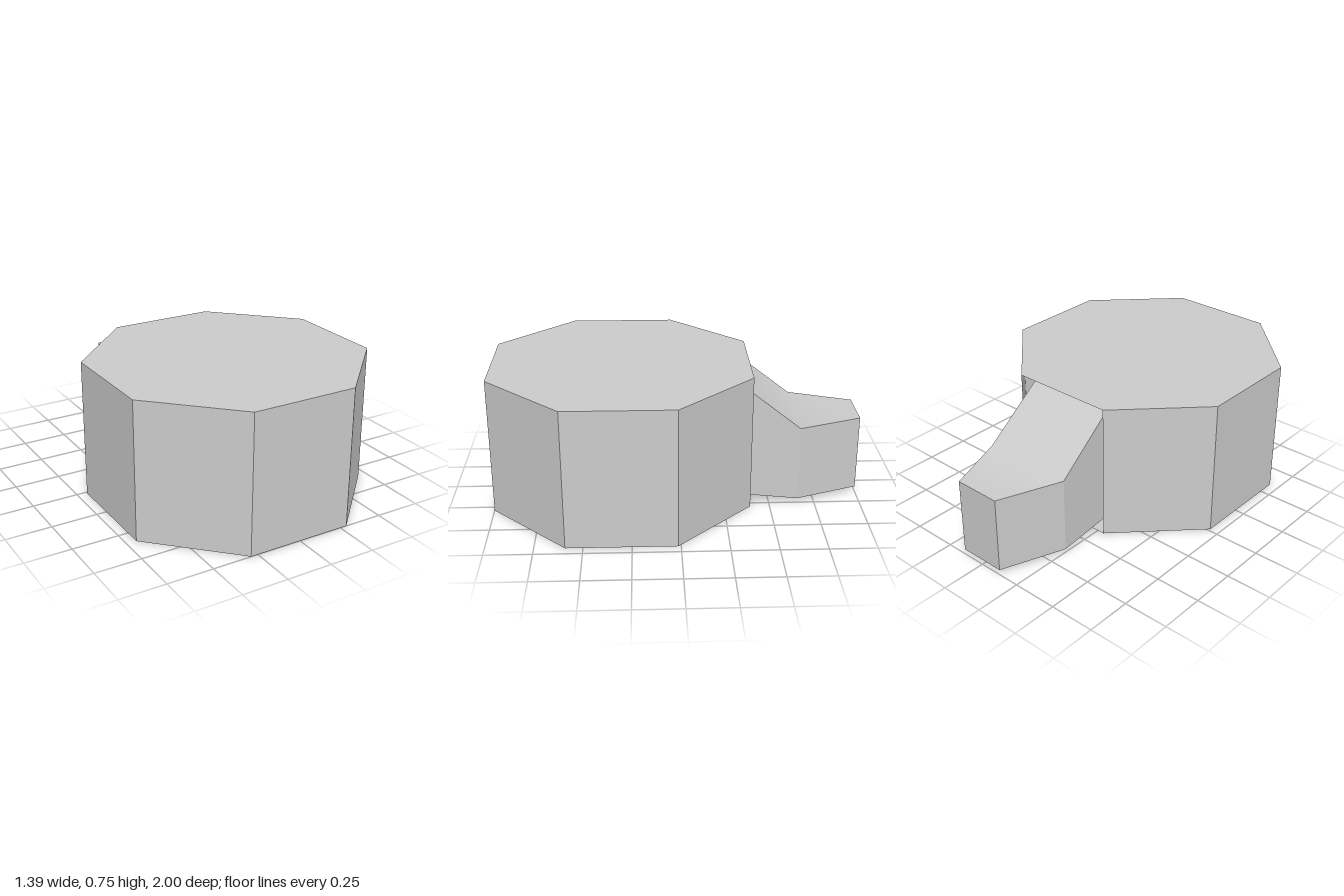
import * as THREE from 'three';

const flat = new THREE.MeshStandardMaterial({ color: 0xcccccc, flatShading: true, side: THREE.DoubleSide });
const smooth = new THREE.MeshStandardMaterial({ color: 0xcccccc, side: THREE.DoubleSide });

function add(parent, name, geometry, material) {
  const mesh = new THREE.Mesh(geometry, material);
  mesh.name = name;
  parent.add(mesh);
  return mesh;
}

// Strip of quads between two rails of [x, y, z] points
function strip(railA, railB) {
  const points = [], index = [];
  railA.forEach((a, i) => {
    points.push(...a, ...railB[i]);
    const k = 2 * i;
    if (i) index.push(k - 2, k - 1, k, k - 1, k + 1, k);
  });
  const g = new THREE.BufferGeometry();
  g.setAttribute('position', new THREE.Float32BufferAttribute(points, 3));
  g.setIndex(index);
  g.computeVertexNormals();
  return g;
}

export function createModel() {
  const model = new THREE.Group();

  // Hollow octagonal body, open on the back side where the spout enters
  const body = new THREE.Group();
  body.name = 'body';
  body.position.z = 0.303;
  model.add(body);
  const height = 0.755, radius = 0.754, step = Math.PI / 4;
  const wall = add(body, 'bodyWall', new THREE.CylinderGeometry(
    radius, radius, height, 7, 1, true, Math.PI + step / 2, 7 * step), flat);
  wall.position.y = height / 2;
  const cap = new THREE.CircleGeometry(radius, 8, step / 2);
  const lid = add(body, 'bodyTop', cap, flat);
  lid.rotation.x = -Math.PI / 2;
  lid.position.y = height;
  add(body, 'bodyBottom', cap, flat).rotation.x = Math.PI / 2;

  // Spout cross-sections from inside the body to the tip: z, half width, bottom, top
  const sections = [
    [-0.29, 0.253, 0.065, 0.738],
    [-0.655, 0.26, 0.03, 0.45],
    [-1, 0.13, 0.03, 0.45],
  ];
  const rail = (side, level) => sections.map((s) => [side * s[1], s[level], s[0]]);
  const topLeft = rail(1, 3), topRight = rail(-1, 3);
  const bottomLeft = rail(1, 2), bottomRight = rail(-1, 2);
  const spout = new THREE.Group();
  spout.name = 'spout';
  model.add(spout);
  add(spout, 'spoutTop', strip(topLeft, topRight).scale(1, 1, 1), smooth);
  add(spout, 'spoutBottom', strip(bottomRight, bottomLeft), smooth);
  add(spout, 'spoutLeftSide', strip(bottomLeft, topLeft), flat);
  add(spout, 'spoutRightSide', strip(topRight, bottomRight), flat);
  add(spout, 'spoutTip', strip([topLeft[2], bottomLeft[2]], [topRight[2], bottomRight[2]]), flat);

  return model;
}
